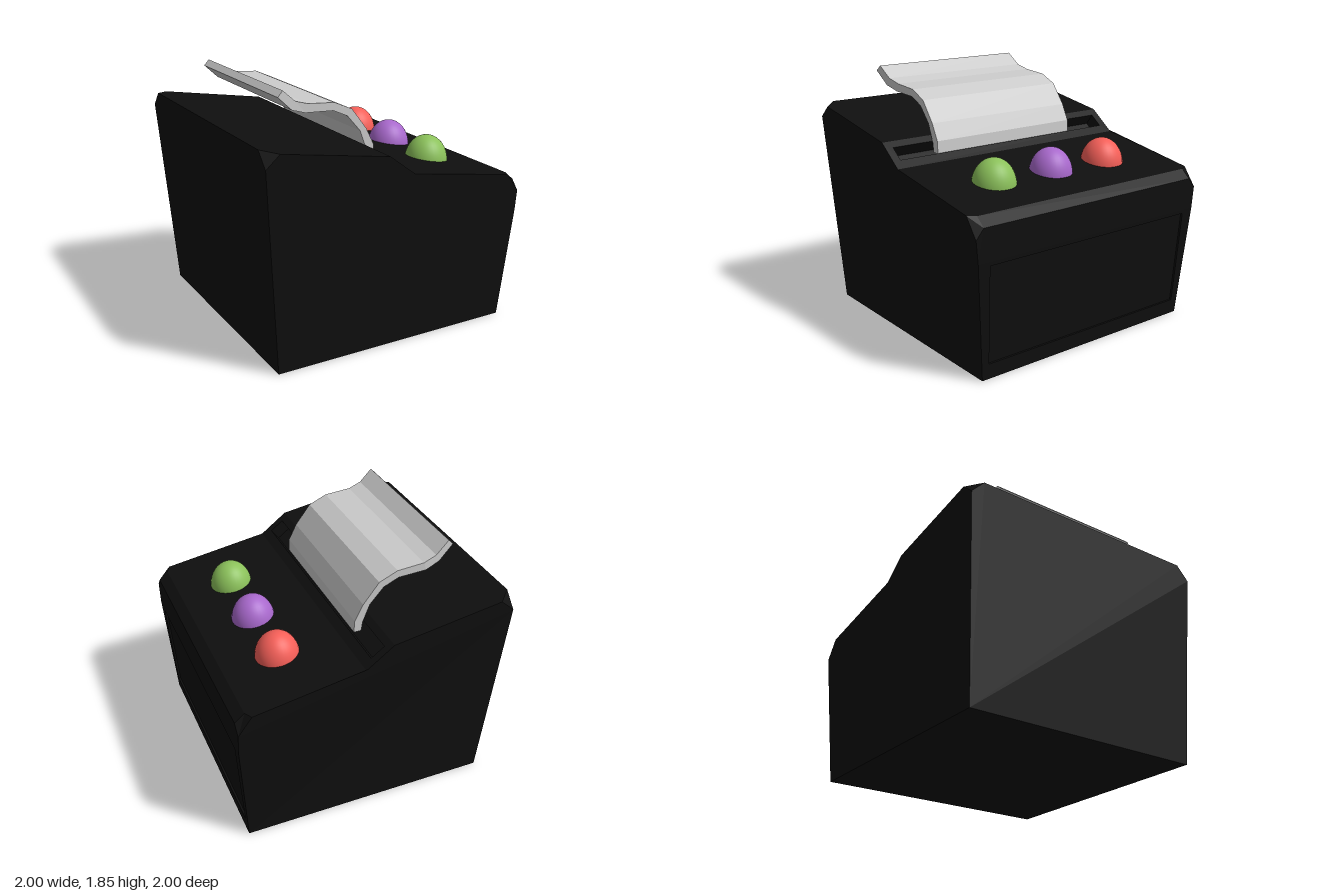
import * as THREE from 'three';

const black = new THREE.MeshStandardMaterial({ color: 0x0f0f0f, flatShading: true });
const grey = new THREE.MeshStandardMaterial({ color: 0xcccccc, flatShading: true });

const mirror = ([x, y, z]) => [x, y, -z];

// Housing: faceted box with sloping top, stepped middle and cut corners
function createHousing() {
  const positions = [];
  const face = (...p) => {
    for (let i = 1; i < p.length - 1; i++) positions.push(...p[0], ...p[i], ...p[i + 1]);
  };
  // a face and its mirror image across z = 0
  const both = (...p) => {
    face(...p);
    face(...p.map(mirror).reverse());
  };
  // a strip symmetric across z = 0, given its +z half
  const across = (...p) => face(...p, ...p.map(mirror).reverse());
  // a four-sided face with a sunken rectangle
  const recessed = (outer, hole, offset) => {
    const floor = hole.map(p => p.map((v, k) => v + offset[k]));
    for (let i = 0; i < 4; i++) {
      const j = (i + 1) % 4;
      face(outer[i], outer[j], hole[j], hole[i]);
      face(hole[i], hole[j], floor[j], floor[i]);
    }
    face(...floor);
  };

  const baseL = [-0.9, 0, 0.92], baseR = [0.945, 0, 0.92];
  const mid = [1, 0.84, 0.985], cornerR = [1, 1.0, 1];
  const lipLow = [1, 1.07, 0.94], lipTop = [0.93, 1.13, 0.94];
  const topR = [0.9, 1.135, 1], stepLow = [0.1, 1.265, 1], stepHigh = [-0.1, 1.415, 1];
  const topL = [-0.9, 1.548, 1], cornerL = [-1, 1.46, 1], ridge = [-1, 1.565, 0.9];

  // side walls and cut corners
  both(baseL, baseR, mid, cornerR, topR, stepLow, stepHigh, topL, cornerL);
  both(cornerL, topL, ridge);
  both(topR, cornerR, lipLow, lipTop);
  // top slopes and edge bevel
  across(ridge, topL, stepHigh);
  across(stepLow, topR, lipTop);
  across(lipTop, lipLow);
  // end walls and underside
  across(lipLow, cornerR, mid);
  face(mirror(baseL), baseL, cornerL, ridge, mirror(ridge), mirror(cornerL));
  face(mirror(baseL), mirror(baseR), baseR, baseL);
  // sunken panel in the +x wall
  recessed(
    [baseR, mirror(baseR), mirror(mid), mid],
    [[0.952, 0.11, 0.87], [0.952, 0.11, -0.87], [0.998, 0.81, -0.89], [0.998, 0.81, 0.89]],
    [-0.015, 0, 0]);
  // paper slot in the step
  recessed(
    [stepHigh, stepLow, mirror(stepLow), mirror(stepHigh)],
    [[-0.054, 1.38, 0.94], [0.04, 1.31, 0.94], [0.04, 1.31, -0.94], [-0.054, 1.38, -0.94]],
    [-0.06, -0.08, 0]);

  const geometry = new THREE.BufferGeometry();
  geometry.setAttribute('position', new THREE.Float32BufferAttribute(positions, 3));
  geometry.computeVertexNormals();
  return new THREE.Mesh(geometry, black);
}

// Curved sheet rising from the slot, its free end skewed slightly to +z
function createSheet() {
  const outline = [
    [0.015, 1.3], [0.01, 1.39], [-0.05, 1.51], [-0.165, 1.66], [-0.3, 1.72], [-0.5, 1.735],
    [-0.6, 1.765], [-0.7, 1.85], [-0.74, 1.81], [-0.63, 1.71], [-0.52, 1.675], [-0.31, 1.665],
    [-0.2, 1.615], [-0.1, 1.5], [-0.05, 1.37], [-0.04, 1.3],
  ].map(p => new THREE.Vector2(...p));
  const geometry = new THREE.ExtrudeGeometry(new THREE.Shape(outline), { depth: 1.23, bevelEnabled: false });
  geometry.translate(0, 0, -0.615);
  const pos = geometry.attributes.position;
  for (let i = 0; i < pos.count; i++) {
    const skew = Math.max(0, -0.52 - pos.getX(i)) * 0.18;
    pos.setZ(i, pos.getZ(i) + skew);
  }
  geometry.computeVertexNormals();
  return new THREE.Mesh(geometry, grey);
}

// Domed push button
function createButton(color, z) {
  const geometry = new THREE.SphereGeometry(1, 32, 12, 0, Math.PI * 2, 0, Math.PI / 2);
  const button = new THREE.Mesh(geometry, new THREE.MeshStandardMaterial({ color }));
  button.scale.set(0.157, 0.19, 0.157);
  button.position.set(0.535, 1.17, z);
  return button;
}

export function createModel() {
  const model = new THREE.Group();
  const add = (name, mesh) => {
    mesh.name = name;
    model.add(mesh);
  };
  add('housing', createHousing());
  add('paperSheet', createSheet());
  add('greenButton', createButton(0x8bc15a, 0.51));
  add('purpleButton', createButton(0xa868cc, 0.005));
  add('redButton', createButton(0xf55f58, -0.49));
  return model;
}
